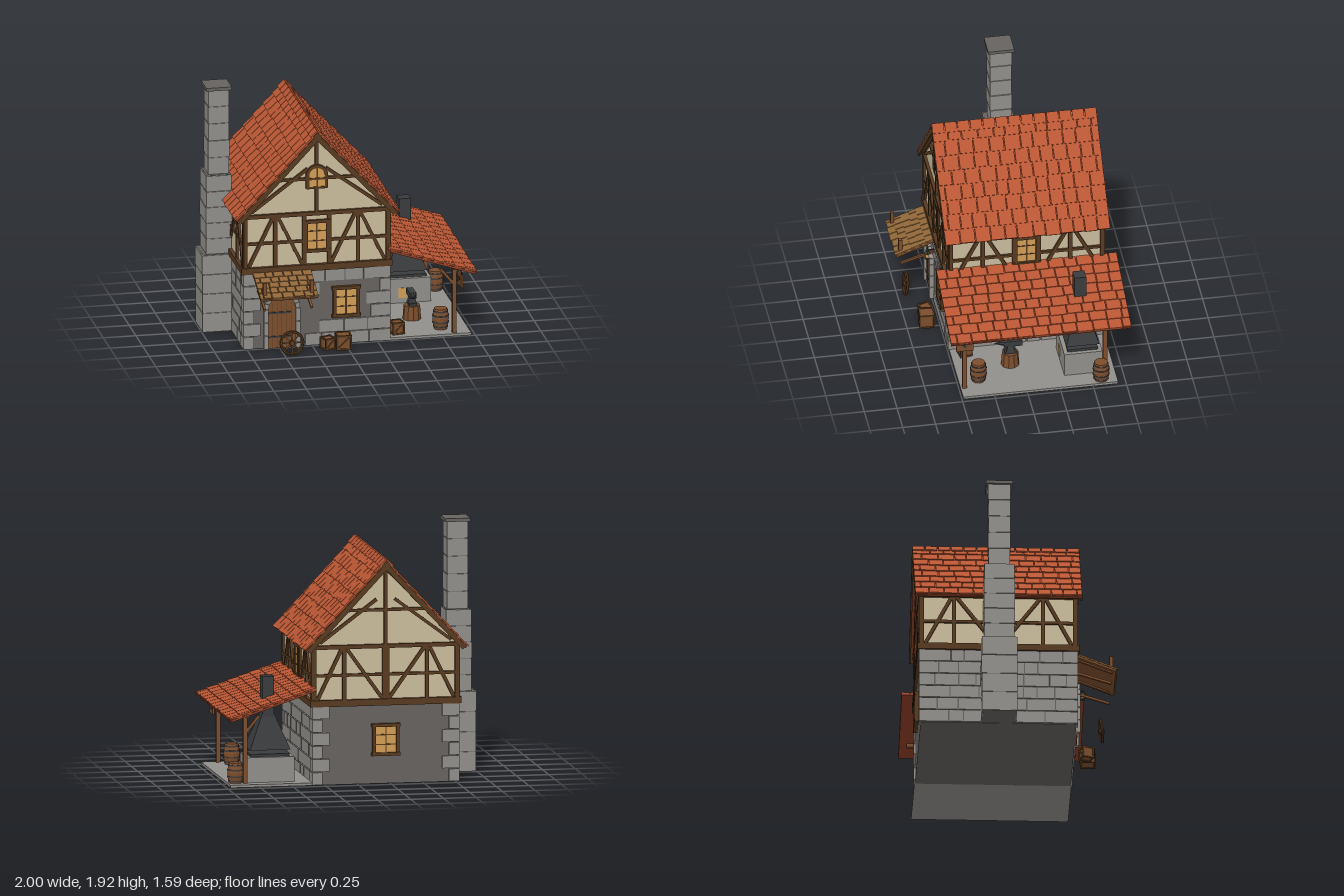
import * as THREE from 'three';
import { mergeGeometries } from 'three/addons/utils/BufferGeometryUtils.js';

const mat = (name, color) => Object.assign(new THREE.MeshStandardMaterial({ color }), { name });
const M = {
  stone: mat('light stone', 0x918f8b), dark: mat('dark stone', 0x666360), plaster: mat('plaster', 0xcabd9c),
  timber: mat('dark timber', 0x573a20), wood: mat('warm wood', 0x7c4e2d), tile: mat('clay tile', 0xb95633),
  deck: mat('roof deck', 0x8f4026), shingle: mat('wood shingle', 0x8f6638), amber: mat('amber glass', 0xd29e56),
  iron: mat('iron', 0x3a3b3d),
};
let seed = 7;
const rnd = () => (seed = (seed * 16807) % 2147483647) / 2147483647;
const V = (x, y, z) => new THREE.Vector3(x, y, z);
const flat = (g) => { const f = g.index ? g.toNonIndexed() : g; f.computeVertexNormals(); return f; };
const boxGeo = (w, h, d, x = 0, y = 0, z = 0) => new THREE.BoxGeometry(w, h, d).translate(x, y, z);

function add(parent, name, geo, material, x = 0, y = 0, z = 0) {
  const m = new THREE.Mesh(geo, material);
  m.name = name;
  m.position.set(x, y, z);
  parent.add(m);
  return m;
}
const box = (p, name, m, w, h, d, x, y, z) => add(p, name, boxGeo(w, h, d), m, x, y, z);
function group(parent, name, x = 0, y = 0, z = 0, ry = 0) {
  const g = new THREE.Group();
  g.name = name;
  g.position.set(x, y, z);
  g.rotation.y = ry;
  parent.add(g);
  return g;
}
// Square bar between two points
function bar(p, name, m, a, b, w, d = w) {
  const dir = b.clone().sub(a), mid = a.clone().add(b).multiplyScalar(0.5);
  const o = box(p, name, m, w, dir.length(), d, mid.x, mid.y, mid.z);
  o.quaternion.setFromUnitVectors(V(0, 1, 0), dir.normalize());
  return o;
}
// Bar in the local wall plane
const beam = (p, x1, y1, x2, y2, w = 0.026, d = 0.03) => bar(p, 'timberBeam', M.timber, V(x1, y1, 0), V(x2, y2, 0), w, d);

function archShape(r, spring) {
  const s = new THREE.Shape();
  s.moveTo(-r, 0); s.lineTo(r, 0); s.lineTo(r, spring);
  s.absarc(0, spring, r, 0, Math.PI);
  s.closePath();
  return s;
}
const extrude = (s, depth) => new THREE.ExtrudeGeometry(s, { depth, bevelEnabled: false, curveSegments: 8 });

function windowUnit(p, x, y, z, w, h, rows, ry = 0) {
  const g = group(p, 'window', x, y, z, ry);
  box(g, 'windowPane', M.amber, w, h, 0.01, 0, 0, 0);
  for (const s of [-1, 1]) {
    box(g, 'windowJamb', M.timber, 0.025, h, 0.035, s * w / 2, 0, 0);
    box(g, 'windowRail', M.timber, w + 0.04, 0.025, 0.04, 0, s * h / 2, 0);
  }
  box(g, 'mullion', M.timber, 0.01, h, 0.018, 0, 0, 0);
  for (let i = 1; i < rows; i++) box(g, 'glazingBar', M.timber, w, 0.008, 0.018, 0, h * (i / rows - 0.5), 0);
}

// Half-timbered storey wall, facing local +z
function wallFrame(p, half, hasWindow) {
  beam(p, -half - 0.02, 0.62, half + 0.02, 0.62, 0.05, 0.05);
  beam(p, -half, 1.045, half, 1.045, 0.03, 0.04);
  const inner = hasWindow ? 0.095 : 0.012, mid = half * 0.57;
  for (const s of [-1, 1]) {
    for (const x of [inner, mid, half - 0.01]) beam(p, s * x, 0.62, s * x, 1.05, 0.03);
    beam(p, s * inner, 0.83, s * half, 0.83, 0.022, 0.026);
    beam(p, s * (inner + 0.015), 0.65, s * (mid - 0.02), 1.03);
    beam(p, s * (half - 0.035), 0.65, s * (mid + 0.02), 1.03);
  }
  if (hasWindow) windowUnit(p, 0, 0.865, 0, 0.165, 0.23, 3);
}

// Gable timbers, facing local +z
function gableFrame(p, hasWindow) {
  beam(p, 0, 1.05, 0, 1.63, 0.026);
  beam(p, -0.32, 1.32, 0.32, 1.32, 0.022);
  for (const s of [-1, 1]) {
    beam(p, s * 0.575, 1.045, 0, 1.645, 0.035);
    beam(p, s * 0.5, 1.08, s * 0.07, 1.4, 0.024);
  }
  if (!hasWindow) return;
  const frame = archShape(0.085, 0.1);
  frame.holes.push(new THREE.Path(archShape(0.06, 0.1).getPoints(8)));
  add(p, 'gableWindowFrame', extrude(frame, 0.03), M.timber, 0, 1.245, -0.008);
  add(p, 'gableWindowPane', extrude(archShape(0.062, 0.1), 0.009), M.amber, 0, 1.245, 0.008);
  beam(p, 0, 1.24, 0, 1.41, 0.01, 0.045);
  for (const y of [1.25, 1.32]) beam(p, -0.08, y, 0.08, y, 0.016, 0.045);
}

// Staggered stone courses on a wall plane; skip(x0, x1, y) leaves bare patches
function stoneCourses(p, half, skip = () => false) {
  const list = [];
  for (let r = 0; r < 6; r++) {
    let x = -half;
    while (x < half - 0.01) {
      let w = 0.1 + 0.13 * rnd();
      if (x + w > half - 0.05) w = half - x;
      if (!skip(x, x + w, r * 0.1 + 0.05)) list.push(boxGeo(w - 0.01, 0.09, 0.02, x + w / 2, r * 0.1 + 0.05, 0));
      x += w;
    }
  }
  add(p, 'wallStones', mergeGeometries(list), M.stone);
}

// Roof slope running down local +x: deck plus rows of irregular tiles
function slope(parent, name, pos, ry, angle, len, half, rows, tileW, tileMat, deckMat) {
  const turn = group(parent, name, ...pos, ry), g = group(turn, 'slope');
  g.rotation.z = -angle;
  box(g, 'roofDeck', deckMat, len, 0.016, half * 2 - 0.01, len / 2, -0.008, 0);
  const list = [], step = len / rows;
  for (let r = 0; r < rows; r++) {
    let z = -half, first = 0.4 + 0.6 * rnd();
    while (z < half - 0.001) {
      let w = tileW * (0.8 + 0.4 * rnd()) * first;
      first = 1;
      if (z + w > half - tileW * 0.35) w = half - z;
      list.push(new THREE.BoxGeometry(step * 1.06, 0.011, w - 0.007).rotateZ(0.07)
        .translate((r + 0.5) * step + (rnd() - 0.5) * 0.008, 0.008, z + w / 2));
      z += w;
    }
  }
  add(g, 'roofTiles', mergeGeometries(list), tileMat);
  return g;
}

function barrel(p, x, y, z) {
  const g = group(p, 'barrel', x, y, z);
  const pts = [[0, 0], [0.05, 0], [0.06, 0.045], [0.063, 0.08], [0.06, 0.115], [0.05, 0.16], [0, 0.16]];
  add(g, 'barrelStaves', flat(new THREE.LatheGeometry(pts.map((q) => new THREE.Vector2(...q)), 12)), M.wood);
  for (const [h, r] of [[0.02, 0.057], [0.055, 0.064], [0.105, 0.064], [0.14, 0.057]])
    add(g, 'barrelHoop', flat(new THREE.CylinderGeometry(r, r, 0.01, 12)), M.iron, 0, h, 0);
}

function crate(p, s, x, y, z, ry) {
  const g = group(p, 'crate', x, y + s / 2, z, ry), e = s / 2 - 0.006;
  box(g, 'crateBody', M.wood, s - 0.012, s - 0.012, s - 0.012, 0, 0, 0);
  for (const a of [-e, e]) for (const b of [-e, e]) {
    box(g, 'crateEdge', M.timber, s, 0.012, 0.012, 0, a, b);
    box(g, 'crateEdge', M.timber, 0.012, s, 0.012, a, 0, b);
    box(g, 'crateEdge', M.timber, 0.012, 0.012, s, a, b, 0);
  }
  for (const k of [-1, 1]) bar(g, 'crateBrace', M.timber, V(-e, -e, k * e), V(e, e, k * e), 0.012, 0.008);
}

export function createModel() {
  const root = new THREE.Group();
  root.name = 'smithyHouse';
  const house = group(root, 'house', -0.215, 0, -0.1);

  // Ground floor
  box(house, 'groundFloor', M.dark, 1.1, 0.6, 1.17, 0, 0.3, 0);
  const walls = (name, dx, dz) => [0, 1, 2, 3].map((i) =>
    group(house, name, [0, dx, 0, -dx][i], 0, [dz, 0, -dz, 0][i], i * Math.PI / 2));
  const low = walls('stoneWall', 0.55, 0.585);
  stoneCourses(low[0], 0.55, (a, b, y) => (a < -0.12 && y < 0.42) || (b > 0.11 && a < 0.35 && y > 0.19 && y < 0.48)
    || (a > 0.3 && y > 0.36 && y < 0.5));
  stoneCourses(low[1], 0.58);
  stoneCourses(low[3], 0.58);
  for (const sx of [-1, 1]) for (const sz of [-1, 1]) for (let r = 0; r < 6; r++) {
    const [w, d] = r % 2 ? [0.13, 0.08] : [0.08, 0.13];
    box(house, 'cornerStone', M.stone, w, 0.094, d, sx * (0.563 - w / 2), r * 0.1 + 0.05, sz * (0.598 - d / 2));
  }
  windowUnit(house, 0.225, 0.335, 0.595, 0.18, 0.22, 3);
  windowUnit(house, 0, 0.335, -0.595, 0.18, 0.22, 3);

  // Arched door with stone surround
  const door = group(root, 'door', -0.485, 0, 0.485);
  add(door, 'doorLeaf', extrude(archShape(0.106, 0.315), 0.015), M.wood);
  for (let i = -2; i <= 2; i++) box(door, 'plankSeam', M.timber, 0.004, 0.36, 0.006, i * 0.036, 0.18, 0.014);
  for (const y of [0.09, 0.28]) box(door, 'strapHinge', M.iron, 0.17, 0.013, 0.008, -0.015, y, 0.018);
  for (let i = 0; i < 9; i++) {
    const a = (i + 0.04) * Math.PI / 9, b = (i + 0.96) * Math.PI / 9, s = new THREE.Shape();
    s.absarc(0, 0, 0.138, a, b);
    s.absarc(0, 0, 0.104, b, a, true);
    add(door, 'archStone', extrude(s, 0.035), M.stone, 0, 0.315, 0);
  }
  for (const s of [-1, 1]) for (let i = 0; i < 3; i++)
    box(door, 'jambStone', M.stone, 0.034, 0.1, 0.035, s * 0.121, 0.052 + i * 0.105, 0.0175);

  // Upper floor and gables
  box(house, 'upperFloor', M.plaster, 1.1, 0.46, 1.16, 0, 0.83, 0);
  const tri = new THREE.Shape([[-0.56, 0], [0.56, 0], [0, 0.59]].map((q) => new THREE.Vector2(...q)));
  add(house, 'gable', extrude(tri, 1.16), M.plaster, 0, 1.05, -0.58);
  const up = walls('timberWall', 0.553, 0.583);
  up.forEach((w, i) => wallFrame(w, i % 2 ? 0.585 : 0.555, i < 2));
  gableFrame(up[0], true);
  gableFrame(up[2], false);

  // Main roof with bargeboards and ridge caps
  const pitch = Math.atan2(0.66, 0.62);
  for (const ry of [0, Math.PI]) {
    const g = slope(house, 'mainRoof', [0, 1.682, 0], ry, pitch, 0.9, 0.63, 8, 0.105, M.tile, M.deck);
    for (const s of [-1, 1]) box(g, 'bargeboard', M.timber, 0.9, 0.04, 0.014, 0.44, -0.02, s * 0.622);
    for (let i = 0; i < 13; i++) box(g, 'ridgeCap', M.tile, 0.07, 0.012, 0.088, 0.02, 0.017, -0.582 + i * 0.097);
  }

  // Stepped chimney
  const stack = group(root, 'chimney', 0, 0, -0.1);
  for (const [x0, x1, depth, y0, y1, n] of [[-1, -0.76, 0.27, 0, 0.61, 4], [-0.968, -0.765, 0.235, 0.61, 1.23, 5], [-0.945, -0.78, 0.17, 1.23, 1.9, 5]]) {
    const h = (y1 - y0) / n;
    box(stack, 'chimneyCore', M.dark, x1 - x0 - 0.02, y1 - y0, depth - 0.02, (x0 + x1) / 2, (y0 + y1) / 2, 0);
    for (let i = 0; i < n; i++)
      box(stack, 'chimneyCourse', M.stone, x1 - x0 - rnd() * 0.01, h - 0.005, depth - rnd() * 0.01, (x0 + x1) / 2, y0 + (i + 0.5) * h, 0);
  }
  box(stack, 'chimneyCap', M.dark, 0.195, 0.025, 0.2, -0.8625, 1.907, 0);

  // Porch canopy over the door
  slope(root, 'porchRoof', [-0.485, 0.598, 0.5], -Math.PI / 2, 0.37, 0.31, 0.225, 5, 0.075, M.shingle, M.wood);
  for (const x of [-0.665, -0.305]) {
    bar(root, 'porchStrut', M.wood, V(x, 0.39, 0.75), V(x, 0.47, 0.49), 0.018);
    box(root, 'porchPeg', M.wood, 0.028, 0.125, 0.028, x, 0.545, 0.75);
    bar(root, 'porchRafter', M.wood, V(x, 0.48, 0.76), V(x, 0.58, 0.5), 0.022);
  }

  // Lantern
  const lamp = group(root, 'lantern', -0.285, 0.455, 0.55);
  box(lamp, 'lanternGlass', M.amber, 0.026, 0.042, 0.026, 0, 0, 0);
  box(lamp, 'lanternBase', M.iron, 0.034, 0.008, 0.034, 0, -0.024, 0);
  add(lamp, 'lanternCap', flat(new THREE.ConeGeometry(0.028, 0.022, 4)), M.iron, 0, 0.03, 0);
  bar(lamp, 'lanternArm', M.iron, V(0, 0.045, 0.01), V(0, 0.045, -0.06), 0.008);

  // Forge lean-to
  box(root, 'forgeFloor', M.stone, 0.635, 0.02, 1.18, 0.6525, 0.01, -0.1);
  slope(root, 'leanToRoof', [0.335, 0.745, -0.1], 0, 0.324, 0.69, 0.69, 8, 0.11, M.tile, M.deck);
  bar(root, 'leanToBeam', M.wood, V(0.845, 0.55, 0.53), V(0.845, 0.55, -0.73), 0.03);
  for (const z of [0.46, -0.61]) {
    box(root, 'leanToPost', M.wood, 0.032, 0.53, 0.032, 0.845, 0.285, z);
    bar(root, 'postBrace', M.wood, V(0.845, 0.4, z), V(0.74, 0.53, z), 0.02);
  }

  // Forge hearth, hood and flue
  const forge = group(root, 'forge', 0.645, 0, -0.45);
  box(forge, 'hearth', M.stone, 0.36, 0.19, 0.29, 0, 0.115, 0);
  box(forge, 'coalBed', M.iron, 0.3, 0.02, 0.23, 0, 0.22, 0);
  box(forge, 'emberOpening', M.amber, 0.06, 0.08, 0.008, -0.04, 0.1, 0.146);
  const hood = flat(new THREE.CylinderGeometry(0.064, 0.219, 0.265, 4).rotateY(Math.PI / 4).scale(1, 1, 0.82));
  add(forge, 'hood', hood, M.iron, 0, 0.393, 0);
  box(forge, 'flue', M.iron, 0.09, 0.31, 0.09, 0, 0.655, 0);

  // Anvil on a stump
  const anvil = group(root, 'anvil', 0.6, 0, 0.07);
  add(anvil, 'stump', flat(new THREE.CylinderGeometry(0.062, 0.07, 0.11, 10)), M.wood, 0, 0.075, 0);
  box(anvil, 'anvilFoot', M.iron, 0.06, 0.02, 0.09, 0, 0.14, 0);
  add(anvil, 'anvilWaist', flat(new THREE.CylinderGeometry(0.03, 0.045, 0.05, 4).rotateY(Math.PI / 4)), M.iron, 0, 0.17, 0);
  box(anvil, 'anvilFace', M.iron, 0.05, 0.045, 0.14, 0, 0.213, -0.02);
  add(anvil, 'anvilHorn', flat(new THREE.ConeGeometry(0.025, 0.075, 8).rotateX(Math.PI / 2)), M.iron, 0, 0.215, 0.085);

  // Hanging sign board
  const sign = group(root, 'sign', 0.89, 0.44, 0.465);
  box(sign, 'signBoard', M.wood, 0.014, 0.1, 0.13, 0, 0, 0);
  box(sign, 'signMark', M.iron, 0.02, 0.016, 0.06, 0, 0.012, 0);
  box(sign, 'signMark', M.iron, 0.02, 0.02, 0.026, 0, -0.008, 0);
  bar(sign, 'signArm', M.iron, V(0, 0.07, -0.09), V(0, 0.07, 0.08), 0.008);
  for (const z of [-0.045, 0.045]) bar(sign, 'signHook', M.iron, V(0, 0.045, z), V(0, 0.07, z), 0.006);
  bar(sign, 'signBracket', M.iron, V(-0.045, 0.07, 0), V(0, 0.07, 0), 0.01);

  // Yard goods
  barrel(root, 0.765, 0.02, 0.34);
  barrel(root, 0.91, 0.015, -0.57);
  crate(root, 0.09, -0.148, 0, 0.585, 0.35);
  crate(root, 0.115, -0.033, 0, 0.597, -0.07);
  crate(root, 0.095, 0.42, 0.02, 0.385, 0.15);

  // Leaning cart wheel
  const wheel = group(root, 'cartWheel', -0.445, 0.097, 0.685);
  wheel.rotation.x = -0.12;
  add(wheel, 'wheelRim', flat(new THREE.TorusGeometry(0.085, 0.011, 6, 20)), M.timber);
  add(wheel, 'wheelHub', flat(new THREE.CylinderGeometry(0.02, 0.02, 0.045, 8).rotateX(Math.PI / 2)), M.timber);
  for (let i = 0; i < 4; i++) {
    const c = Math.cos(i * Math.PI / 4) * 0.085, s = Math.sin(i * Math.PI / 4) * 0.085;
    bar(wheel, 'wheelSpoke', M.wood, V(-c, -s, 0), V(c, s, 0), 0.01);
  }
  return root;
}
